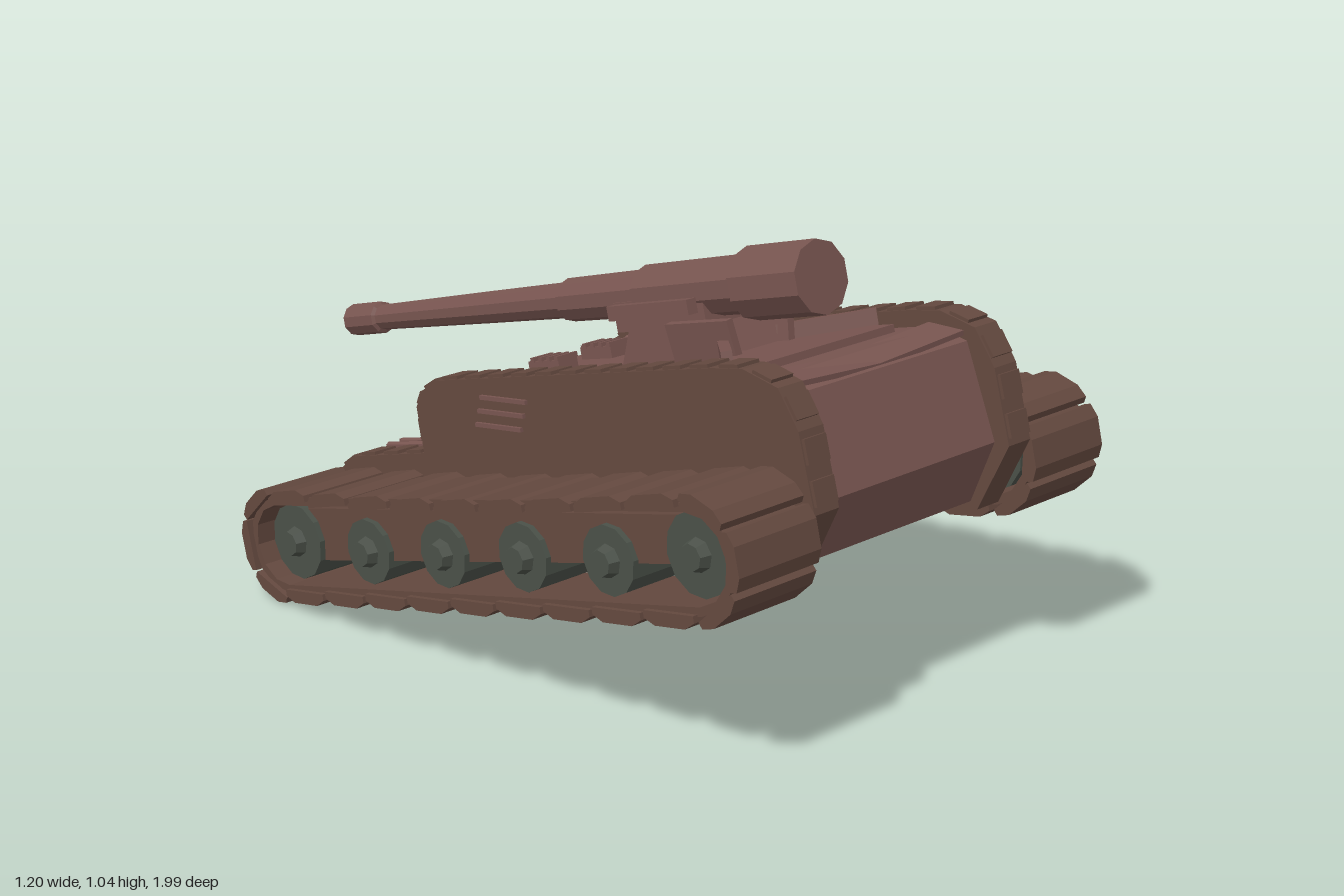
import * as THREE from 'three';

const TILT = 0.253;
const mat = (color) => new THREE.MeshStandardMaterial({ color, flatShading: true, side: THREE.DoubleSide });
const HULL = mat(0x785550), TRACK = mat(0x64493f), WHEEL = mat(0x4a5048);

function add(parent, name, geo, material, x = 0, y = 0, z = 0, rx = 0) {
  const m = new THREE.Mesh(geo, material);
  m.name = name;
  m.position.set(x, y, z);
  m.rotation.x = rx;
  parent.add(m);
  return m;
}
const box = (w, h, d) => new THREE.BoxGeometry(w, h, d);

// Side profile of [z, y] points, pulled across from x0 to x1
function slab(points, x0, x1, hole) {
  const shape = new THREE.Shape(points.map(([z, y]) => new THREE.Vector2(z, y)));
  if (hole) shape.holes.push(new THREE.Path(hole.map(([z, y]) => new THREE.Vector2(z, y))));
  const g = new THREE.ExtrudeGeometry(shape, { depth: x1 - x0, bevelEnabled: false });
  return g.rotateY(-Math.PI / 2).translate(x1, 0, 0);
}

// Loop with straight runs and faceted ends
const FRONT = 0.96, REAR = -0.49, MID = 0.30;
function loop(r, sides = 6) {
  const pts = [];
  for (let end = 0; end < 2; end++) {
    for (let i = 0; i <= sides; i++) {
      const a = -Math.PI / 2 + end * Math.PI + (i / sides) * Math.PI;
      pts.push([(end ? REAR : FRONT) + r * Math.cos(a), MID + r * Math.sin(a)]);
    }
  }
  return pts;
}

// Height of the main deck and rear deck at a given z
const deckY = (z) => (z > -0.28 ? 0.635 + 0.262 * z : 0.475 + 0.262 * z);

function makeTrack(side) {
  const g = new THREE.Group();
  g.name = side > 0 ? 'leftTrack' : 'rightTrack';
  const X = (a, b) => (side > 0 ? [a, b] : [-b, -a]);

  add(g, 'trackBand', slab(loop(0.12), ...X(0.37, 0.585), loop(0.1)), TRACK);
  add(g, 'trackFrame', slab([[0.99, 0.38], [1.03, 0.32], [0.97, 0.3], [0.9, 0.275], [-0.42, 0.25],
    [-0.5, 0.25], [-0.57, 0.3], [-0.54, 0.38]], ...X(0.35, 0.53)), TRACK);

  // Road wheels with hubs
  for (let i = 0; i < 6; i++) {
    const u = FRONT - 0.02 + (i / 5) * (REAR - FRONT + 0.03);
    const r = i === 0 || i === 5 ? 0.095 : 0.08;
    const v = i === 0 || i === 5 ? MID : 0.28;
    add(g, 'roadWheel', new THREE.CylinderGeometry(r, r, 0.15, 12).rotateZ(Math.PI / 2), WHEEL, side * 0.47, v, u);
    add(g, 'wheelHub', new THREE.CylinderGeometry(0.03, 0.04, 0.03, 8).rotateZ(-side * Math.PI / 2), WHEEL, side * 0.555, v, u);
  }

  // Track pads: bevelled plates around the loop
  const pad = (l) => slab([[-l / 2, 0.112], [l / 2, 0.112], [l / 2, 0.128], [l / 2 - 0.03, 0.143],
    [-l / 2 + 0.03, 0.143], [-l / 2, 0.128]], ...X(0.355, 0.598));
  const straight = pad(0.15), bend = pad(0.125);
  const step = (FRONT - REAR) / 9;
  for (let i = 0; i < 9; i++) {
    const u = REAR + (i + 0.5) * step;
    const sag = -0.02 * Math.sin(((i + 0.5) / 9) * Math.PI);
    add(g, 'trackPad', straight, TRACK, 0, MID + sag, u, -0.05);
    add(g, 'trackPad', straight, TRACK, 0, MID, u, Math.PI + 0.05);
  }
  for (let i = 0; i < 3; i++) {
    const a = (Math.PI / 3) * (i + 0.5);
    add(g, 'trackPad', bend, TRACK, 0, MID, FRONT, a);
    add(g, 'trackPad', bend, TRACK, 0, MID, REAR, a + Math.PI);
  }
  g.rotation.x = -TILT;
  return g;
}

function makeHullSide(side) {
  const g = new THREE.Group();
  g.name = side > 0 ? 'leftHullSide' : 'rightHullSide';
  const outline = [[0.9, 0.43], [0.98, 0.6], [0.93, 0.77], [0.87, 0.85], [0.77, 0.868], [0.68, 0.85],
    [-0.22, 0.615], [-0.28, 0.575], [-0.3, 0.53], [-0.275, 0.42], [-0.54, 0.345], [-0.6, 0.3], [-0.61, 0.24], [-0.53, 0.09]];
  add(g, 'sidePlate', slab(outline, side > 0 ? 0.28 : -0.355, side > 0 ? 0.355 : -0.28), TRACK);

  // Cleats along the upper rim
  for (let i = 1; i < 12; i++) {
    const [z0, y0] = outline[i], [z1, y1] = outline[i + 1];
    const len = Math.hypot(z1 - z0, y1 - y0);
    const n = Math.max(1, Math.round(len / 0.085));
    for (let k = 0; k < n; k++) {
      const t = (k + 0.5) / n;
      add(g, 'rimCleat', box(0.066, 0.016, Math.min(0.055, len * 0.7)), TRACK, side * 0.318,
        y0 + (y1 - y0) * t, z0 + (z1 - z0) * t, -Math.atan2(y1 - y0, z1 - z0));
    }
  }
  // Side vent slats
  for (let i = 0; i < 3; i++) {
    add(g, 'ventSlat', box(0.012, 0.01, 0.16), HULL, side * 0.358, 0.625 - i * 0.035, 0.02 - i * 0.008, -TILT + 0.1);
  }
  // Deck rails
  for (const x of [0.2, 0.245]) {
    for (const [z, len] of [[0.14, 0.7], [-0.42, 0.26]]) {
      add(g, 'deckRail', new THREE.CylinderGeometry(0.011, 0.011, len, 6).rotateX(Math.PI / 2), HULL,
        side * x, deckY(z) + 0.012, z, -TILT);
    }
  }
  add(g, 'deckRidge', box(0.008, 0.02, 0.8), HULL, side * 0.175, deckY(0.1) + 0.005, 0.1, -TILT);
  add(g, 'rearDeckRidge', box(0.008, 0.03, 0.3), HULL, side * 0.175, deckY(-0.44), -0.44, -TILT);
  // Ribbed engine vent
  add(g, 'ventBase', box(0.06, 0.03, 0.11), HULL, side * 0.085, deckY(-0.11) + 0.015, -0.11, -TILT);
  for (let i = 0; i < 4; i++) {
    const z = -0.15 + i * 0.028;
    add(g, 'ventRib', box(0.065, 0.012, 0.012), HULL, side * 0.085, deckY(z) + 0.034, z, -TILT);
  }
  // Diagonal splash guard ahead of the mount
  const guard = add(g, 'splashGuard', box(0.025, 0.055, 0.23), HULL, side * 0.165, deckY(0.54) + 0.025, 0.54, -TILT);
  guard.rotation.order = 'XYZ';
  guard.rotation.y = side * 0.75;
  return g;
}

function makeGun() {
  const g = new THREE.Group();
  g.name = 'gun';
  // Stepped barrel [radius, distance from breech], bored at the muzzle
  const profile = [[0, 0], [0.085, 0], [0.085, 0.21], [0.068, 0.215], [0.066, 0.55], [0.056, 0.555], [0.053, 0.83],
    [0.044, 0.84], [0.04, 1.15], [0.033, 1.58], [0.042, 1.585], [0.042, 1.705], [0.03, 1.705], [0.028, 1.58], [0, 1.58]];
  const barrel = new THREE.LatheGeometry(profile.map(([r, d]) => new THREE.Vector2(r, d)), 10);
  add(g, 'barrel', barrel.rotateX(-Math.PI / 2), HULL);
  // Cradle and recoil rails
  add(g, 'cradle', box(0.12, 0.07, 0.3), HULL, 0, -0.045, -0.47);
  for (const s of [-1, 1]) add(g, 'recoilRail', box(0.03, 0.035, 0.27), HULL, s * 0.08, -0.03, -0.47);
  g.position.set(0, 0.978, 0.665);
  g.rotation.x = -0.265;
  return g;
}

export function createModel() {
  const model = new THREE.Group();
  model.name = 'tank';

  // Central body with stepped rear deck
  add(model, 'hullBody', slab([[0.88, 0.445], [0.94, 0.6], [0.85, 0.815], [0.77, 0.83], [0.7, 0.815],
    [-0.24, 0.572], [-0.28, 0.53], [-0.29, 0.4], [-0.55, 0.33], [-0.585, 0.28], [-0.52, 0.115]], -0.282, 0.282), HULL);

  // Raised nose plate, higher at the outer edges
  for (const s of [-1, 1]) {
    const nose = add(model, 'nosePlate', box(0.28, 0.012, 0.1), HULL, s * 0.14, 0.822, 0.79, -0.02);
    nose.rotation.z = s * 0.06;
  }

  // Front platform and gun pedestal
  add(model, 'frontPlatform', box(0.45, 0.02, 0.22), HULL, 0, deckY(0.58) + 0.005, 0.58, -TILT);
  add(model, 'gunPedestal', slab([[0.32, 0.7], [0.27, 0.86], [0.13, 0.82], [0.09, 0.64]], -0.05, 0.05), HULL);
  for (const s of [-1, 1]) {
    const cheek = add(model, 'mountCheek', box(0.02, 0.11, 0.2), HULL, s * 0.09, deckY(0.4) + 0.045, 0.4, -TILT);
    cheek.rotation.z = -s * 0.15;
  }

  // Rear hatch
  add(model, 'rearHatch', new THREE.CylinderGeometry(0.11, 0.118, 0.035, 12), TRACK, 0, deckY(-0.42) + 0.015, -0.42, -TILT);

  for (const s of [-1, 1]) model.add(makeHullSide(s), makeTrack(s));
  model.add(makeGun());
  return model;
}
